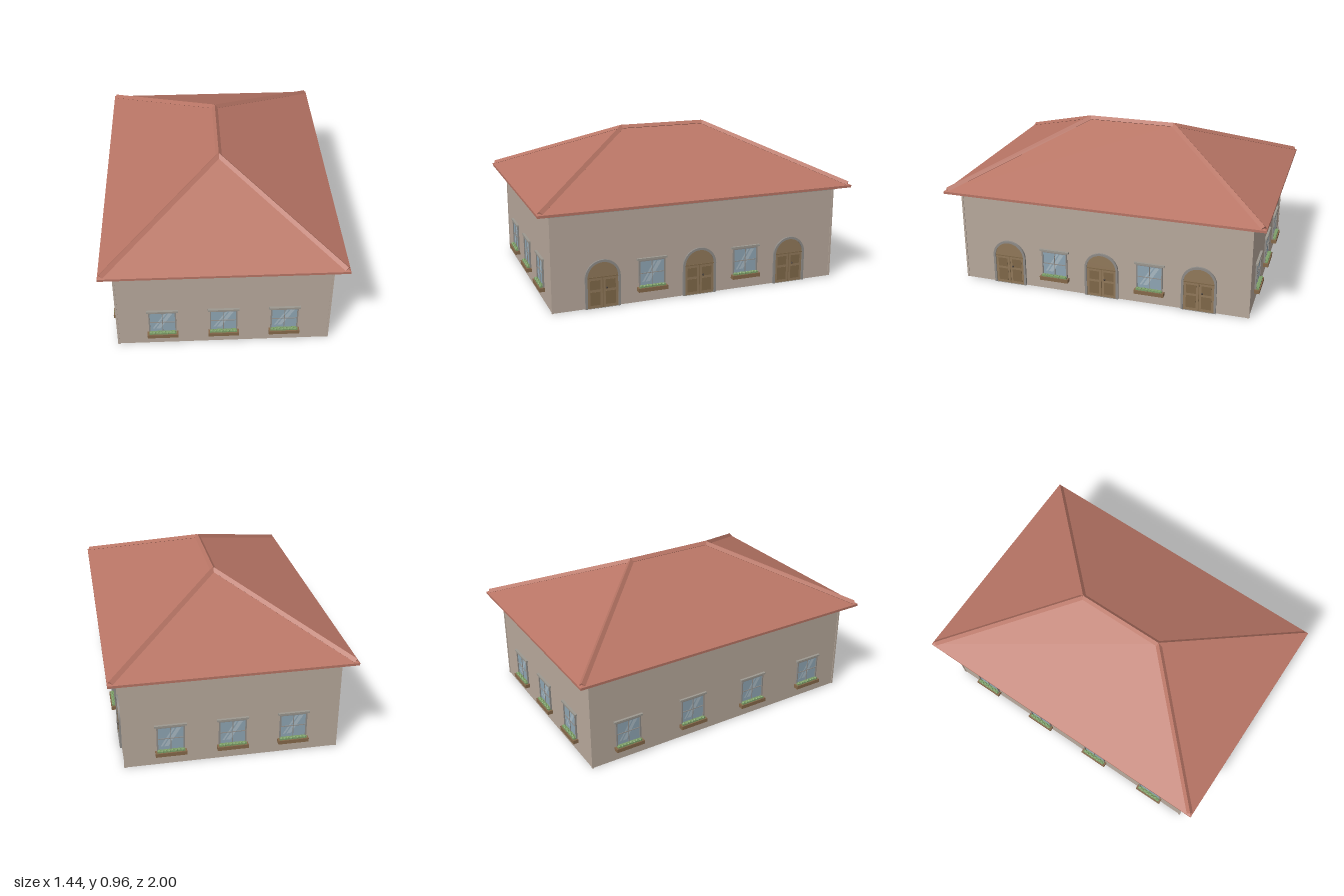
import * as THREE from 'three';

const mat = (color, extra = {}) => new THREE.MeshStandardMaterial({ color, ...extra });
const wallMat = mat(0xb8a99c, { side: THREE.DoubleSide });
const roofMat = mat(0xb87565, { flatShading: true });
const trimMat = mat(0x9c9890);
const stoneMat = mat(0x8f8c88);
const woodMat = mat(0x91795a);
const darkWoodMat = mat(0x7f6849);
const planterMat = mat(0x86694a);
const leafMat = mat(0x7d9f68, { flatShading: true });
const glassMat = mat(0x8fa6b4);
const shineMat = mat(0xa9bac4);
const metalMat = mat(0x4a4038);

const WALL_X = 0.642, WALL_Z = 0.917, EAVE = 0.6;
const ROOF_X = 0.72, ROOF_Z = 1, ROOF_BASE = 0.615, RIDGE_Y = 0.945, RIDGE_Z = 0.28;

function add(parent, name, geometry, material, x = 0, y = 0, z = 0) {
  const mesh = new THREE.Mesh(geometry, material);
  mesh.name = name;
  mesh.position.set(x, y, z);
  parent.add(mesh);
  return mesh;
}

// Box given by its centre x, bottom and top y, back and front z
function slab(parent, name, material, w, y0, y1, z0, z1, x = 0) {
  return add(parent, name, new THREE.BoxGeometry(w, y1 - y0, z1 - z0), material, x, (y0 + y1) / 2, (z0 + z1) / 2);
}

function extrude(shape, depth) {
  return new THREE.ExtrudeGeometry(shape, { depth, bevelEnabled: false, curveSegments: 20 });
}

// Box without one of its faces (order: +x, -x, +y, -y, +z, -z)
function openBox(w, h, d, face) {
  const g = new THREE.BoxGeometry(w, h, d);
  const index = Array.from(g.index.array).filter((_, i) => Math.floor(i / 6) !== face);
  g.setIndex(index);
  g.clearGroups();
  return g;
}

function rectShape(hw, y0, y1, Type = THREE.Shape) {
  const s = new Type();
  s.moveTo(-hw, y0); s.lineTo(hw, y0); s.lineTo(hw, y1); s.lineTo(-hw, y1); s.closePath();
  return s;
}

// Round-headed outline standing on y0, with the arch springing at y1
function archShape(r, y0, y1, Type = THREE.Shape) {
  const s = new Type();
  s.moveTo(-r, y0); s.lineTo(r, y0); s.lineTo(r, y1);
  s.absarc(0, y1, r, 0, Math.PI, false);
  s.closePath();
  return s;
}

// Window facing +z, with its wall at z = 0
function makeWindow() {
  const g = new THREE.Group();
  g.name = 'window';
  slab(g, 'glass', glassMat, 0.15, 0.1, 0.256, 0, 0.004);
  // Slanted reflections on the glass
  for (const [x, w] of [[-0.062, 0.012], [-0.04, 0.026]]) {
    const s = new THREE.Shape();
    s.moveTo(x, 0.125); s.lineTo(x + w, 0.125); s.lineTo(x + w + 0.075, 0.248); s.lineTo(x + 0.075, 0.248);
    add(g, 'reflection', new THREE.ShapeGeometry(s), shineMat, 0, 0, 0.0048);
  }
  const frame = rectShape(0.083, 0.095, 0.262);
  frame.holes.push(rectShape(0.075, 0.103, 0.254, THREE.Path));
  add(g, 'windowFrame', extrude(frame, 0.01), stoneMat);
  slab(g, 'mullion', stoneMat, 0.004, 0.1, 0.256, 0.002, 0.008);
  slab(g, 'glazingBar', stoneMat, 0.15, 0.177, 0.181, 0.002, 0.008);
  slab(g, 'lintel', trimMat, 0.19, 0.262, 0.274, 0, 0.015);
  slab(g, 'planter', planterMat, 0.186, 0.07, 0.094, 0, 0.033);
  slab(g, 'foliage', leafMat, 0.164, 0.09, 0.104, 0.004, 0.026);
  for (let i = 0; i < 8; i++) {
    add(g, 'leafClump', new THREE.IcosahedronGeometry(0.0105, 0), leafMat, -0.07 + i * 0.02, 0.101, 0.014 + (i % 2) * 0.006);
  }
  return g;
}

// Double door facing +z, with its wall at z = 0
function makeDoor() {
  const g = new THREE.Group();
  g.name = 'door';
  const R = 0.108, r = 0.094, spring = 0.188;
  const surround = archShape(R, 0, spring);
  surround.holes.push(archShape(r, 0.0005, spring, THREE.Path));
  add(g, 'doorSurround', extrude(surround, 0.012), stoneMat);
  add(g, 'doorLeaf', extrude(archShape(r, 0, spring), 0.005), woodMat);
  slab(g, 'transom', darkWoodMat, 2 * r, 0.186, 0.192, 0.003, 0.007);
  slab(g, 'meetingStile', darkWoodMat, 0.004, 0, 0.186, 0.003, 0.007);
  for (const x of [-0.047, 0.047]) {
    slab(g, 'upperPanel', darkWoodMat, 0.062, 0.115, 0.172, 0.003, 0.0065, x);
    slab(g, 'lowerPanel', darkWoodMat, 0.062, 0.018, 0.1, 0.003, 0.0065, x);
  }
  add(g, 'doorKnob', new THREE.SphereGeometry(0.006, 10, 8), metalMat, 0.022, 0.123, 0.011);
  return g;
}

// Diamond-section roof cap between two points
function cap(parent, name, a, b) {
  const geometry = new THREE.CylinderGeometry(0.019, 0.019, a.distanceTo(b), 4).rotateX(Math.PI / 2);
  const mesh = add(parent, name, geometry, roofMat);
  mesh.position.copy(a).lerp(b, 0.5);
  mesh.lookAt(b);
}

function makeRoof() {
  const roof = new THREE.Group();
  roof.name = 'roof';
  slab(roof, 'eaves', roofMat, 2 * ROOF_X, EAVE, ROOF_BASE, -ROOF_Z, ROOF_Z);
  // Hipped body: a box whose top is drawn in to the ridge
  const h = RIDGE_Y - ROOF_BASE;
  const hip = openBox(2 * ROOF_X, h, 2 * ROOF_Z, 2);
  const p = hip.attributes.position;
  for (let i = 0; i < p.count; i++) {
    if (p.getY(i) > 0) p.setXYZ(i, 0, h / 2, Math.sign(p.getZ(i)) * RIDGE_Z);
  }
  hip.computeVertexNormals();
  add(roof, 'hippedRoof', hip, roofMat, 0, ROOF_BASE + h / 2, 0);
  // Ridge and hip caps
  const end = s => new THREE.Vector3(0, RIDGE_Y - 0.004, s * RIDGE_Z);
  cap(roof, 'ridgeCap', end(-1), end(1));
  for (const sx of [-1, 1]) for (const sz of [-1, 1]) {
    cap(roof, 'hipCap', end(sz), new THREE.Vector3(sx * (ROOF_X - 0.018), ROOF_BASE + 0.004, sz * (ROOF_Z - 0.018)));
  }
  return roof;
}

export function createModel() {
  const house = new THREE.Group();
  house.name = 'house';

  // Walls with a ceiling, open at the bottom
  add(house, 'walls', openBox(2 * WALL_X, EAVE - 0.002, 2 * WALL_Z, 3), wallMat, 0, (EAVE - 0.002) / 2, 0);
  for (const sx of [-1, 1]) for (const sz of [-1, 1]) {
    slab(house, 'cornerBoard', wallMat, 0.012, 0, 0.58, sz * (WALL_Z - 0.002) - 0.006, sz * (WALL_Z - 0.002) + 0.006, sx * (WALL_X - 0.002));
  }

  // Cornice ring under the eaves
  const ring = rectShape(WALL_X + 0.01, -WALL_Z - 0.01, WALL_Z + 0.01);
  ring.holes.push(rectShape(WALL_X, -WALL_Z, WALL_Z, THREE.Path));
  add(house, 'cornice', extrude(ring, 0.023).rotateX(-Math.PI / 2), trimMat, 0, 0.577, 0);

  house.add(makeRoof());

  // Openings of each wall: turn, distance from centre, part, positions along it
  const walls = [
    ['frontWindows', 0, WALL_Z, makeWindow, [-0.368, 0, 0.368]],
    ['backWindows', Math.PI, WALL_Z, makeWindow, [-0.368, 0, 0.368]],
    ['leftDoors', Math.PI / 2, WALL_X, makeDoor, [-0.613, 0, 0.613]],
    ['leftWindows', Math.PI / 2, WALL_X, makeWindow, [-0.307, 0.307]],
    ['rightWindows', -Math.PI / 2, WALL_X, makeWindow, [-0.675, -0.225, 0.225, 0.675]],
  ];
  for (const [name, turn, distance, make, spots] of walls) {
    const side = new THREE.Group();
    side.name = name;
    side.rotation.y = turn;
    for (const x of spots) {
      const part = make();
      part.position.set(x, 0, distance);
      side.add(part);
    }
    house.add(side);
  }
  return house;
}
